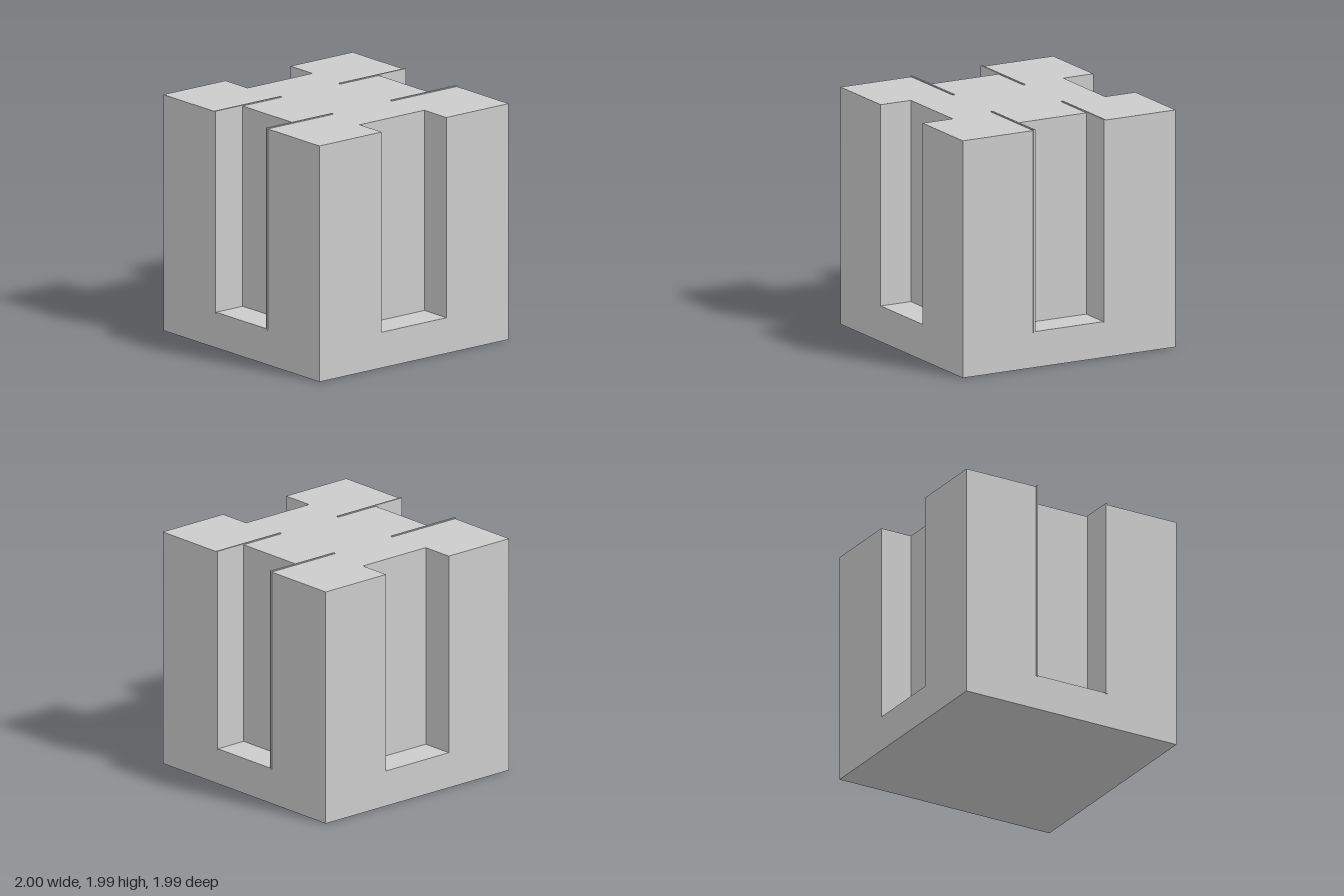
import * as THREE from 'three';

const HALF = 0.993;   // half width of the block
const TOP = 1.984;    // height of the block
const FLOOR = 0.3;    // height of the recess floors

export function createModel() {
  const group = new THREE.Group();
  const material = new THREE.MeshStandardMaterial({ color: 0xcccccc, flatShading: true });

  const add = (name, geometry, x, y, z) => {
    const mesh = new THREE.Mesh(geometry, material);
    mesh.name = name;
    mesh.position.set(x, y, z);
    group.add(mesh);
  };

  // Solid base slab
  add('base', new THREE.BoxGeometry(2 * HALF, FLOOR, 2 * HALF), 0, FLOOR / 2, 0);

  // Upper block: square plan with a recess in the middle of each side
  const frontW = 0.34, frontD = 0.712;  // front and back recesses
  const sideW = 0.329, sideD = 0.715;   // left and right recesses
  const plan = new THREE.Shape([
    [HALF, -HALF], [HALF, -sideW], [sideD, -sideW], [sideD, sideW], [HALF, sideW], [HALF, HALF],
    [frontW, HALF], [frontW, frontD], [-frontW, frontD], [-frontW, HALF], [-HALF, HALF],
    [-HALF, sideW], [-sideD, sideW], [-sideD, -sideW], [-HALF, -sideW], [-HALF, -HALF],
    [-frontW, -HALF], [-frontW, -frontD], [frontW, -frontD], [frontW, -HALF],
  ].map(([x, y]) => new THREE.Vector2(x, y)));
  const block = new THREE.ExtrudeGeometry(plan, { depth: TOP - FLOOR, bevelEnabled: false });
  block.rotateX(-Math.PI / 2);
  add('recessedBlock', block, 0, FLOOR, 0);

  // Thin plates lining the side recesses, slightly proud of the block
  const plate = new THREE.BoxGeometry(0.69, 1.7, 0.016);
  for (const [side, sx] of [['left', 1], ['right', -1]]) {
    for (const [end, sz] of [['Front', 1], ['Back', -1]]) {
      add(side + end + 'Plate', plate, sx * 0.655, 1.142, sz * 0.328);
    }
  }
  return group;
}
